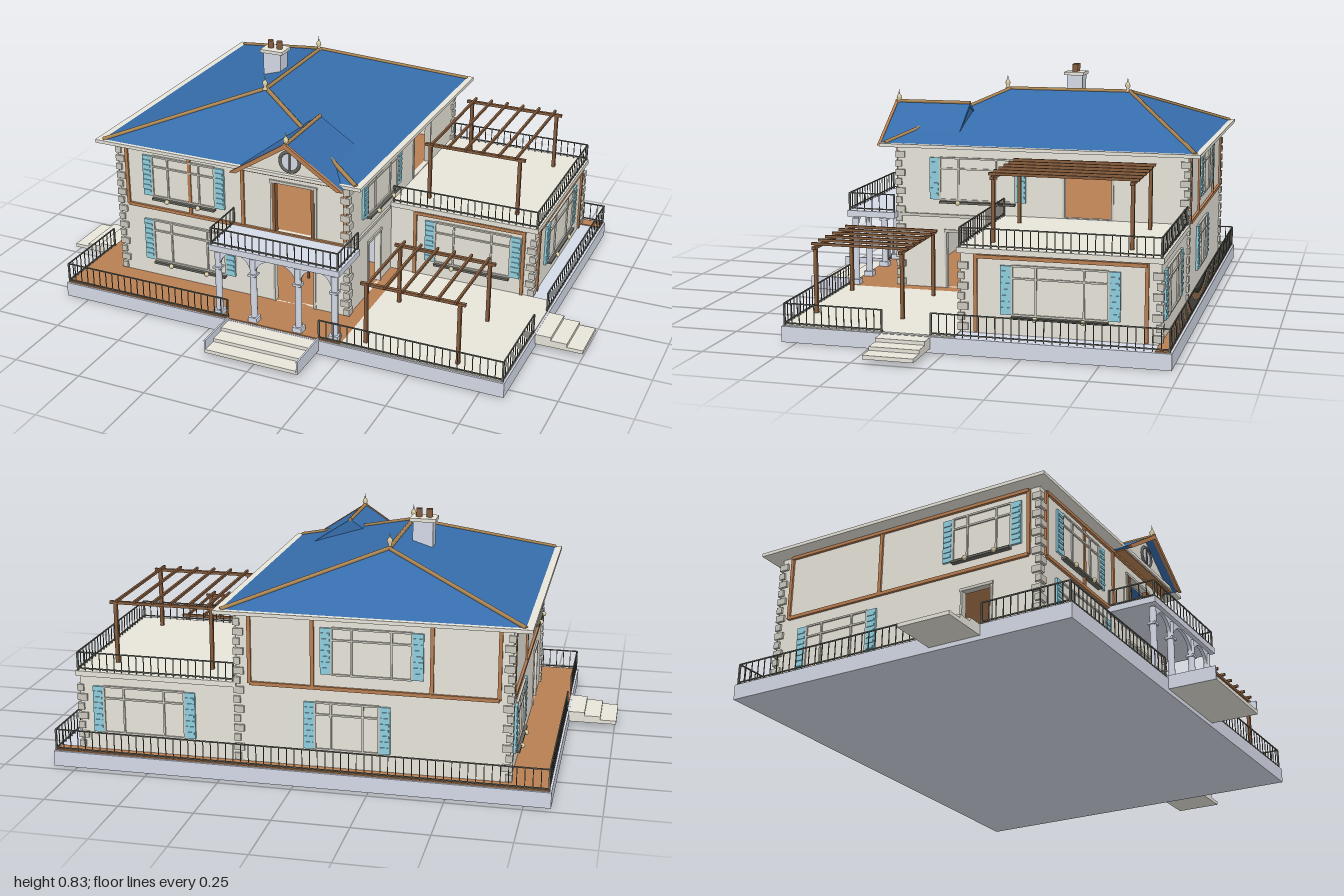
import * as THREE from 'three';
import { mergeGeometries } from 'three/addons/utils/BufferGeometryUtils.js';

const mat = (name, color, side = THREE.FrontSide) => {
  const m = new THREE.MeshStandardMaterial({ color, side });
  m.name = name;
  return m;
};

export function createModel() {
  const M = {
    wall: mat('plaster', 0xe7e4d9), roof: mat('blue tile', 0x366dab, THREE.DoubleSide),
    wood: mat('warm wood', 0xb97f52), stone: mat('pale blue stone', 0xdadfed),
    shutter: mat('teal paint', 0x90cfdf), iron: mat('dark iron', 0x66665f),
    ridge: mat('ridge tile', 0xac8653), beam: mat('dark timber', 0x875d3d),
    trim: mat('grey trim', 0xcbc8be), cream: mat('cream finial', 0xddd0a8),
  };
  const root = new THREE.Group();
  root.name = 'villa';

  const add = (name, geo, m, parent = root) => {
    const mesh = new THREE.Mesh(geo, m);
    mesh.name = name;
    parent.add(mesh);
    return mesh;
  };
  const boxGeo = (x0, x1, y0, y1, z0, z1) =>
    new THREE.BoxGeometry(x1 - x0, y1 - y0, z1 - z0).translate((x0 + x1) / 2, (y0 + y1) / 2, (z0 + z1) / 2);
  // Box given by its limits
  const box = (name, m, x0, x1, y0, y1, z0, z1, parent) => add(name, boxGeo(x0, x1, y0, y1, z0, z1), m, parent);
  // Round bar between two points
  const bar = (name, m, a, b, r, sides = 6) => {
    const p = new THREE.Vector3(...a), d = new THREE.Vector3(...b).sub(p);
    const mesh = add(name, new THREE.CylinderGeometry(r, r, d.length(), sides), m);
    mesh.position.copy(p).addScaledVector(d, 0.5);
    mesh.quaternion.setFromUnitVectors(new THREE.Vector3(0, 1, 0), d.normalize());
  };
  const shapeOf = (pts) => new THREE.Shape(pts.map((p) => new THREE.Vector2(...p)));
  const slab = (name, m, shape, z0, z1, parent) => add(name,
    new THREE.ExtrudeGeometry(shape, { depth: z1 - z0, bevelEnabled: false, curveSegments: 12 }).translate(0, 0, z0), m, parent);

  // Plinth and floors
  box('plinth', M.stone, -0.837, 0.832, 0, 0.053, -0.723, 0.552);
  box('backDeck', M.wood, -0.83, 0.825, 0.053, 0.057, -0.715, -0.67);
  box('mainDeck', M.wood, -0.83, 0.25, 0.053, 0.057, -0.67, 0.545);
  box('patio', M.wall, 0.25, 0.825, 0.053, 0.057, -0.03, 0.545);

  // Steps on three sides
  for (let i = 0; i < 3; i++) {
    const top = 0.052 - i * 0.012, a = i * 0.057, b = a + 0.057;
    box('leftStep', M.wall, -0.835 - b, -0.835 - a, 0.015, top, 0.05, 0.235);
    box('rightStep', M.wall, 0.83 + a, 0.83 + b, 0.015, top, 0.045, 0.21);
    box('frontStep', M.wall, -0.172, 0.167, 0.015, top, 0.55 + a, 0.55 + b);
  }
  for (const x of [-0.178, 0.167]) box('stepCheek', M.stone, x, x + 0.006, 0.015, 0.063, 0.55, 0.72);

  // Facade frames: local x runs along the wall, local z points out
  const face = (name, pos, rot) => {
    const g = new THREE.Group();
    g.name = name;
    g.position.set(...pos);
    g.rotation.y = rot;
    root.add(g);
    return g;
  };
  const Q = Math.PI / 2;
  const front = face('frontFacade', [0, 0, 0.365], 0), right = face('rightFacade', [0.2, 0, 0], Q);
  const left = face('leftFacade', [-0.7, 0, 0], -Q), back = face('backFacade', [0, 0, -0.675], 2 * Q);
  const wingFront = face('wingFrontFacade', [0, 0, -0.03], 0), wingRight = face('wingRightFacade', [0.745, 0, 0], Q);

  // Main walls with open doorways, each hole [x0, x1, y0, y1]
  const wall = (g, x0, x1, holes) => {
    const s = shapeOf([[x0, 0.05], [x1, 0.05], [x1, 0.575], [x0, 0.575]]);
    for (const [a, b, c, d] of holes) {
      s.holes.push(shapeOf([[a, c], [a, d], [b, d], [b, c]]));
      box('doorHead', M.trim, a - 0.01, b + 0.01, d, d + 0.01, -0.02, 0.006, g);
      for (const x of [a - 0.008, b]) box('doorJamb', M.trim, x, x + 0.008, c, d, -0.02, 0.004, g);
    }
    slab('wall', M.wall, s, -0.02, 0, g);
  };
  wall(front, -0.7, 0.2, [[-0.08, 0.07, 0.057, 0.26], [-0.085, 0.075, 0.332, 0.52]]);
  wall(right, -0.364, 0.674, [[-0.185, -0.08, 0.057, 0.26], [0.245, 0.41, 0.332, 0.515]]);
  wall(left, -0.674, 0.364, [[0.08, 0.185, 0.057, 0.26]]);
  wall(back, -0.2, 0.7, []);
  box('upperFloor', M.wood, -0.68, 0.18, 0.315, 0.33, -0.655, 0.345);
  box('hallPartition', M.stone, -0.2, 0.15, 0.057, 0.315, -0.06, -0.04);
  for (const x of [-0.085, 0.063]) box('balconyDoorPost', M.beam, x, x + 0.012, 0.332, 0.52, 0.35, 0.372);
  box('hallTable', M.beam, -0.05, 0.01, 0.108, 0.115, 0.11, 0.18);
  for (const x of [-0.042, 0.002]) for (const z of [0.12, 0.17]) bar('tableLeg', M.beam, [x, 0.057, z], [x, 0.11, z], 0.004);
  bar('lampRod', M.iron, [0.025, 0.25, 0.27], [0.025, 0.315, 0.27], 0.003);
  add('hallLamp', new THREE.CylinderGeometry(0.015, 0.035, 0.04, 8), M.iron).position.set(0.025, 0.237, 0.27);

  // Terrace wing
  box('wingWalls', M.wall, 0.2, 0.745, 0.05, 0.312, -0.675, -0.03);
  box('terraceSlab', M.wall, 0.201, 0.757, 0.312, 0.33, -0.683, -0.02);
  box('stringCourse', M.trim, -0.366, 0.004, 0.314, 0.325, 0, 0.008, right);

  // Windows with mullions and shutters, some with a sill of flower pots
  const windowOn = (g, u, y0, w, h, sill = true) => {
    const win = new THREE.Group();
    win.name = 'window';
    win.position.set(u, y0, 0);
    g.add(win);
    const a = w / 2;
    box('pane', M.wall, -a, a, 0, h, 0, 0.003, win);
    for (const x of [-a, -a / 2, a / 2, a]) box('mullion', M.trim, x - 0.003, x + 0.003, 0, h, 0, 0.008, win);
    for (const y of [0, h * 0.75, h]) box('rail', M.trim, -a, a, y - 0.003, y + 0.003, 0, 0.008, win);
    if (sill) {
      box('sill', M.iron, -a, a, -0.012, -0.004, 0, 0.018, win);
      for (const x of [-a / 2, a / 2]) {
        add('flowerPot', new THREE.SphereGeometry(0.009, 8, 6), M.cream, win).position.set(x, -0.008, 0.02);
      }
    }
    for (const s of [-1, 1]) {
      const c = s * (a + 0.02);
      box('shutter', M.shutter, c - 0.018, c + 0.018, 0, h, 0, 0.008, win);
      for (let i = 1; i < 8; i++) box('slat', M.shutter, c - 0.014, c + 0.014, i * h / 8 - 0.004, i * h / 8 + 0.004, 0, 0.011, win);
    }
  };
  windowOn(front, -0.42, 0.12, 0.29, 0.16);
  windowOn(front, -0.435, 0.378, 0.25, 0.155);
  windowOn(right, -0.07, 0.378, 0.275, 0.15);
  windowOn(left, 0.15, 0.378, 0.22, 0.155);
  windowOn(left, -0.42, 0.12, 0.25, 0.16);
  windowOn(back, 0.25, 0.378, 0.26, 0.155, false);
  windowOn(back, 0.17, 0.12, 0.21, 0.16, false);
  windowOn(back, -0.52, 0.12, 0.28, 0.16, false);
  windowOn(wingFront, 0.515, 0.12, 0.285, 0.16);
  windowOn(wingRight, 0.355, 0.12, 0.31, 0.158);

  // Timber framing: posts at each x, beams at each y
  const timber = (g, xs, y0, y1, beams) => {
    for (const x of xs) box('timberPost', M.wood, x - 0.006, x + 0.006, y0, y1, 0, 0.007, g);
    for (const y of beams) box('timberBeam', M.wood, xs[0], xs[xs.length - 1], y - 0.006, y + 0.006, 0, 0.009, g);
  };
  timber(front, [-0.665, -0.41, -0.2, 0.19], 0.33, 0.565, [0.33, 0.563]);
  timber(left, [-0.63, -0.25, 0.325], 0.33, 0.565, [0.33, 0.563]);
  timber(back, [-0.155, 0.055, 0.445, 0.66], 0.33, 0.565, [0.33, 0.563]);
  timber(wingFront, [0.295, 0.705], 0.057, 0.31, [0.303]);
  timber(wingRight, [0.08, 0.63], 0.057, 0.31, [0.303]);

  // Corner stones; sx and sz point outward
  const quoins = (x, z, sx, sz, y0, y1) => {
    for (let y = y0, i = 0; y < y1 - 0.02; y += 0.033, i++) {
      const a = i % 2 ? 0.034 : 0.022, b = i % 2 ? 0.022 : 0.034;
      add('cornerStone', new THREE.BoxGeometry(a, 0.023, b), M.trim)
        .position.set(x + sx * (0.008 - a / 2), y + 0.013, z + sz * (0.008 - b / 2));
    }
  };
  quoins(-0.7, 0.365, -1, 1, 0.06, 0.57);
  quoins(0.2, 0.365, 1, 1, 0.06, 0.57);
  quoins(-0.7, -0.675, -1, -1, 0.06, 0.57);
  quoins(0.2, -0.675, 1, -1, 0.06, 0.57);
  quoins(0.745, -0.03, 1, 1, 0.06, 0.31);
  quoins(0.745, -0.675, 1, -1, 0.06, 0.31);

  // Hipped roof
  box('eaves', M.wall, -0.762, 0.264, 0.568, 0.58, -0.722, 0.414);
  const A = [-0.738, 0.58, 0.4], B = [0.242, 0.58, 0.4], C = [0.242, 0.58, -0.702], D = [-0.738, 0.58, -0.702];
  const E = [-0.25, 0.733, 0.07], F = [-0.25, 0.733, -0.39];
  const hip = new THREE.BufferGeometry();
  hip.setAttribute('position', new THREE.Float32BufferAttribute(
    [A, B, E, B, C, F, B, F, E, C, D, F, D, A, E, D, E, F].flat(), 3));
  hip.computeVertexNormals();
  add('hippedRoof', hip, M.roof);
  for (const [p, q] of [[A, E], [B, E], [C, F], [D, F], [E, F]]) bar('ridgeCap', M.ridge, p, q, 0.008);

  // Front gable
  slab('gableRoof', M.roof, shapeOf([[-0.205, 0.568], [-0.185, 0.568], [0, 0.69], [0.185, 0.568], [0.205, 0.568], [0, 0.702]]), 0.155, 0.43);
  slab('gableBack', M.roof, shapeOf([[-0.19, 0.568], [0.19, 0.568], [0, 0.692]]), 0.157, 0.3);
  slab('gableWall', M.wall, shapeOf([[-0.188, 0.568], [0.188, 0.568], [0, 0.69]]), 0.3, 0.4);
  slab('bargeBoard', M.wood, shapeOf([[-0.212, 0.565], [-0.188, 0.565], [0, 0.687], [0.188, 0.565], [0.212, 0.565], [0, 0.706]]), 0.43, 0.441);
  box('gableTie', M.wood, -0.19, 0.19, 0.564, 0.574, 0.37, 0.408);
  bar('gableRidge', M.ridge, [0, 0.702, 0.155], [0, 0.702, 0.441], 0.007);
  const pane = add('roundPane', new THREE.CylinderGeometry(0.036, 0.036, 0.004, 24), M.stone);
  pane.rotation.x = Q;
  pane.position.set(0, 0.625, 0.401);
  add('roundWindow', new THREE.TorusGeometry(0.036, 0.006, 6, 24), M.iron).position.set(0, 0.625, 0.402);
  box('roundWindowBar', M.iron, -0.004, 0.004, 0.592, 0.658, 0.4, 0.406);

  // Finials
  const finial = new THREE.LatheGeometry([[0.01, 0], [0.005, 0.012], [0.01, 0.022], [0.008, 0.03], [0.003, 0.037], [0, 0.055]]
    .map((p) => new THREE.Vector2(...p)), 10);
  for (const p of [[-0.25, 0.732, 0.08], [-0.25, 0.732, -0.38], [0, 0.692, 0.428]]) add('finial', finial, M.cream).position.set(...p);

  // Chimney
  box('chimneyStack', M.stone, -0.365, -0.295, 0.64, 0.785, -0.198, -0.138);
  box('chimneyCap', M.wall, -0.375, -0.285, 0.785, 0.797, -0.205, -0.13);
  for (const x of [-0.348, -0.312]) bar('chimneyPot', M.beam, [x, 0.797, -0.167], [x, 0.826, -0.167], 0.011, 10);

  // Porch balcony on arched columns
  box('balconySlab', M.stone, -0.245, 0.245, 0.308, 0.33, 0.366, 0.545);
  const cols = [-0.22, -0.085, 0.085, 0.22];
  for (const x of cols) {
    bar('porchColumn', M.stone, [x, 0.057, 0.523], [x, 0.3, 0.523], 0.012, 12);
    box('columnBase', M.stone, x - 0.017, x + 0.017, 0.057, 0.075, 0.506, 0.54);
    box('columnCapital', M.stone, x - 0.015, x + 0.015, 0.235, 0.243, 0.508, 0.538);
  }
  for (let i = 0; i < 3; i++) {
    const a = cols[i], b = cols[i + 1], r = (b - a) / 2 - 0.008;
    const s = shapeOf([[a, 0.24], [a, 0.309], [b, 0.309], [b, 0.24], [b - 0.008, 0.24]]);
    s.absellipse((a + b) / 2, 0.24, r, 0.064, 0, Math.PI, false);
    slab('porchArch', M.stone, s, 0.517, 0.529);
  }

  // Iron railings between corner points
  const railing = (name, y, h, pts) => {
    const parts = [];
    for (let i = 0; i < pts.length - 1; i++) {
      const [x0, z0] = pts[i], [x1, z1] = pts[i + 1];
      const n = Math.round(Math.hypot(x1 - x0, z1 - z0) / 0.026), t = 0.002;
      for (const v of [y + 0.008, y + h]) {
        parts.push(boxGeo(Math.min(x0, x1) - t, Math.max(x0, x1) + t, v - t, v + t, Math.min(z0, z1) - t, Math.max(z0, z1) + t));
      }
      for (let k = 0; k <= n; k++) {
        const x = x0 + (x1 - x0) * k / n, z = z0 + (z1 - z0) * k / n, r = k % n ? 0.0013 : 0.003;
        parts.push(boxGeo(x - r, x + r, y, y + h, z - r, z + r));
      }
    }
    add(name, mergeGeometries(parts), M.iron);
  };
  railing('gardenRailing', 0.055, 0.073, [[0.17, 0.543], [0.824, 0.543], [0.824, 0.21]]);
  railing('gardenRailing', 0.055, 0.073, [[0.824, 0.045], [0.824, -0.715], [-0.829, -0.715], [-0.829, 0.05]]);
  railing('gardenRailing', 0.055, 0.073, [[-0.829, 0.235], [-0.829, 0.543], [-0.18, 0.543]]);
  railing('terraceRailing', 0.33, 0.063, [[0.21, -0.028], [0.75, -0.028], [0.75, -0.675], [0.21, -0.675]]);
  railing('balconyRailing', 0.33, 0.063, [[-0.237, 0.37], [-0.237, 0.538], [0.237, 0.538], [0.237, 0.37]]);

  // Pergolas
  const pergola = (y0, y1, x0, x1, z0, z1) => {
    for (const z of [z0, z1]) {
      box('pergolaBeam', M.beam, x0 - 0.02, x1 + 0.02, y1 - 0.016, y1 - 0.006, z - 0.006, z + 0.006);
      for (const x of [x0, x1]) box('pergolaPost', M.beam, x - 0.006, x + 0.006, y0, y1 - 0.016, z - 0.006, z + 0.006);
    }
    for (let i = 0; i < 6; i++) {
      const x = x0 + 0.01 + (x1 - x0 - 0.02) * i / 5;
      box('pergolaSlat', M.beam, x - 0.004, x + 0.004, y1 - 0.006, y1 + 0.003, z0 - 0.018, z1 + 0.018);
    }
  };
  pergola(0.33, 0.552, 0.315, 0.65, -0.565, -0.112);
  pergola(0.057, 0.292, 0.325, 0.655, 0.197, 0.5);
  return root;
}
